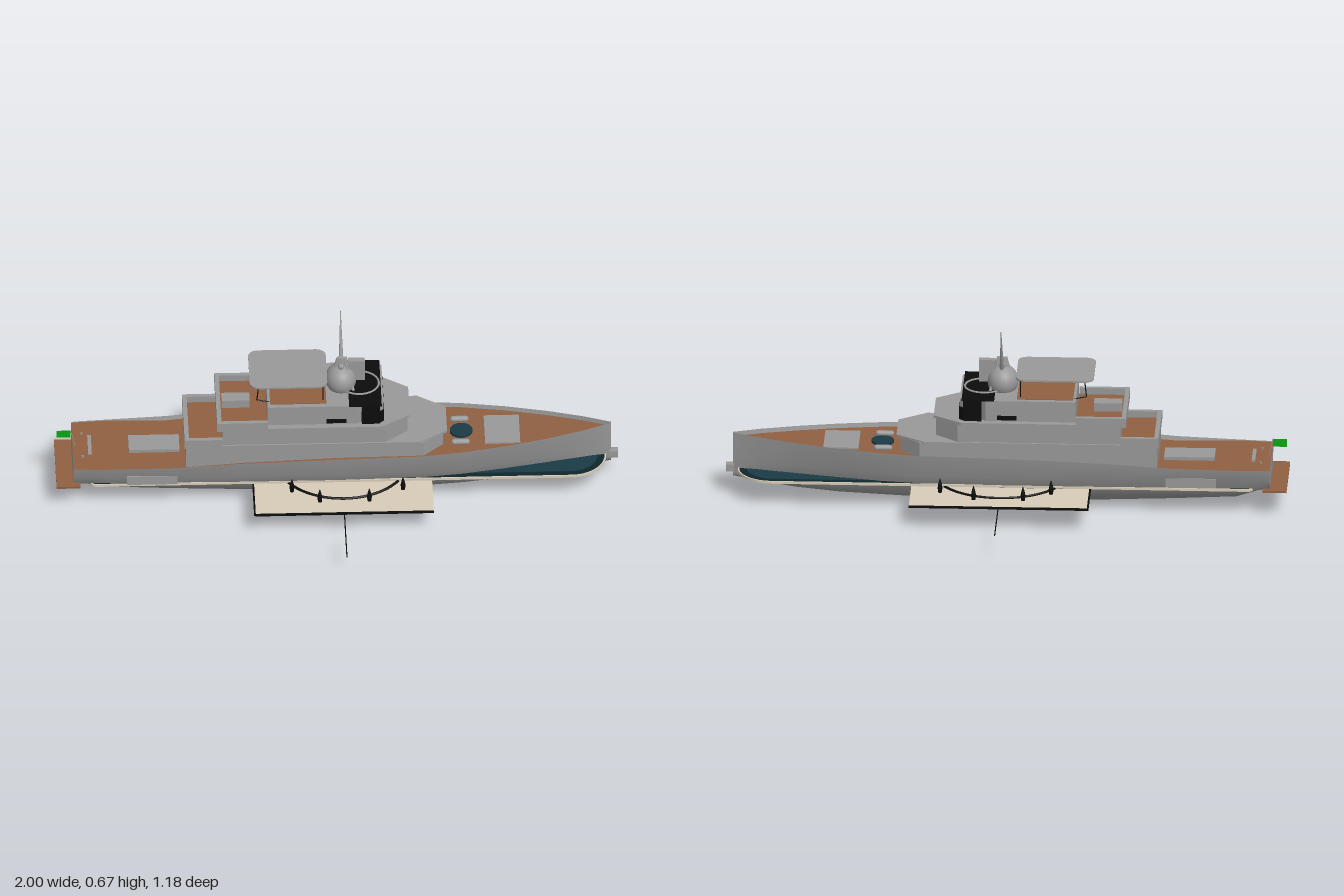
import * as THREE from 'three';

const mat = (color) => new THREE.MeshStandardMaterial({ color, side: THREE.DoubleSide });
const GREY = mat(0x999999), WOOD = mat(0x906042), BEIGE = mat(0xd8ccb8);
const TEAL = mat(0x193b45), DARK_TEAL = mat(0x10262c), BLACK = mat(0x0c0c0c), GREEN = mat(0x0ca812);

// Hull stations: x, half beam at the rail, rail height, half beam at the water, keel height
const STATIONS = [
  [-0.94, 0.145, 0.18, 0.118, 0.098], [-0.9, 0.149, 0.18, 0.12, 0.078], [-0.82, 0.153, 0.181, 0.123, 0.036],
  [-0.6, 0.16, 0.187, 0.128, 0.022], [-0.35, 0.167, 0.205, 0.132, 0.01], [0, 0.172, 0.219, 0.133, 0.005],
  [0.3, 0.167, 0.222, 0.125, 0.006], [0.45, 0.15, 0.225, 0.108, 0.01], [0.6, 0.122, 0.228, 0.08, 0.017],
  [0.75, 0.084, 0.231, 0.048, 0.032], [0.88, 0.042, 0.234, 0.02, 0.052], [0.975, 0.003, 0.236, 0.002, 0.072],
];

// Joins equal-length rows of points into a surface
function loft(rows) {
  const n = rows[0].length, index = [];
  for (let i = 0; i < rows.length - 1; i++) {
    for (let j = 0; j < n - 1; j++) {
      const a = i * n + j, b = a + n;
      index.push(a, b, a + 1, b, b + 1, a + 1);
    }
  }
  const g = new THREE.BufferGeometry();
  g.setAttribute('position', new THREE.Float32BufferAttribute(rows.flat(2), 3));
  g.setIndex(index);
  g.computeVertexNormals();
  return g;
}

// Upright prism from a plan outline, with optional holes
function prism(shape, y0, y1, ...holes) {
  shape.holes.push(...holes);
  const g = new THREE.ExtrudeGeometry(shape, { depth: y1 - y0, bevelEnabled: false, curveSegments: 12 });
  return g.rotateX(-Math.PI / 2).translate(0, y0, 0);
}

// Plan of a deckhouse with a chamfered front
function housePlan(x0, x1, half, cx, cz) {
  return new THREE.Shape([[x0, -half], [x1 - cx, -half], [x1, cz - half], [x1, half - cz], [x1 - cx, half], [x0, half]]
    .map(([x, z]) => new THREE.Vector2(x, z)));
}

// Plan with rounded corners, r0 at the stern end and r1 at the bow end
function roundPlan(x0, x1, h, r0, r1) {
  const s = new THREE.Shape();
  s.moveTo(x0 + r0, -h);
  s.lineTo(x1 - r1, -h);
  s.absarc(x1 - r1, -h + r1, r1, -Math.PI / 2, 0);
  s.absarc(x1 - r1, h - r1, r1, 0, Math.PI / 2);
  s.lineTo(x0 + r0, h);
  s.absarc(x0 + r0, h - r0, r0, Math.PI / 2, Math.PI);
  s.absarc(x0 + r0, -h + r0, r0, Math.PI, Math.PI * 1.5);
  return s;
}

export function createModel() {
  const root = new THREE.Group();
  const add = (name, geo, material = GREY) => {
    const m = new THREE.Mesh(geo, material);
    m.name = name;
    root.add(m);
    return m;
  };
  // Box given by its limits
  const box = (name, x0, x1, y0, y1, z0, z1, material) =>
    add(name, new THREE.BoxGeometry(x1 - x0, y1 - y0, z1 - z0)
      .translate((x0 + x1) / 2, (y0 + y1) / 2, (z0 + z1) / 2), material);
  // Thin rod between two points
  const rod = (name, a, b, r0, r1, material) => {
    const p = new THREE.Vector3(...a), q = new THREE.Vector3(...b), d = q.clone().sub(p);
    const m = add(name, new THREE.CylinderGeometry(r1, r0, d.length(), 8), material);
    m.position.copy(p).lerp(q, 0.5);
    m.quaternion.setFromUnitVectors(new THREE.Vector3(0, 1, 0), d.normalize());
  };

  // Hull, transom and main deck
  const sections = STATIONS.map(([x, b, s, w, k]) => {
    const side = [[b, s], [b * 0.53 + w * 0.5, 0.14], [w, Math.max(0.1, k)],
      [w * 0.9, k + (0.1 - k) * 0.65], [w * 0.64, k + (0.1 - k) * 0.3]];
    return [...side.map(([z, y]) => [x, y, z]), [x, k, 0], ...side.reverse().map(([z, y]) => [x, y, -z])];
  });
  add('hull', loft(sections));
  const stern = sections[0];
  add('transom', loft([stern.slice(0, 6), stern.slice(5).reverse()]));
  add('mainDeck', loft(STATIONS.map(([x, b, s]) => {
    const y = s - (x < -0.6 ? 0.002 : 0.016), h = Math.max(b - 0.003, 0.001);
    return [[x, y, -h], [x, y, h]];
  })), WOOD);
  for (const s of [1, -1]) {
    box('sideDoor', -0.75, -0.57, 0.112, 0.147, s * 0.147 - 0.005, s * 0.147 + 0.005);
  }

  // Waterline shelf with its edging, bow block and swim platform
  add('waterlineRim', prism(roundPlan(-0.88, 0.957, 0.136, 0.02, 0.126), 0.095, 0.104,
    roundPlan(-0.876, 0.952, 0.131, 0.02, 0.121)), BEIGE);
  add('shelfGutter', prism(roundPlan(-0.876, 0.952, 0.131, 0.02, 0.121), 0.096, 0.103,
    roundPlan(-0.86, 0.927, 0.108, 0.02, 0.098)), DARK_TEAL);
  add('waterlineShelf', prism(roundPlan(-0.86, 0.927, 0.108, 0.02, 0.098), 0.096, 0.104), TEAL);
  box('bowBlock', 0.97, 1, 0.09, 0.118, -0.013, 0.013);
  box('swimPlatform', -1, -0.915, 0.096, 0.104, -0.145, 0.145, WOOD);

  // Side terraces with ring, bollards and thin spar
  box('sideTerrace', -0.3, 0.335, 0.086, 0.092, -0.318, 0.318, BEIGE);
  box('terraceEdge', -0.304, -0.298, 0.085, 0.093, -0.32, 0.32, BLACK);
  box('terraceSpar', 0.015, 0.019, 0.089, 0.0895, -0.59, 0.59, BLACK);
  add('terraceRing', new THREE.TorusGeometry(0.236, 0.005, 8, 64).rotateX(Math.PI / 2).translate(0.02, 0.094, 0), BLACK);
  add('terraceRingBase', new THREE.CylinderGeometry(0.232, 0.232, 0.012, 64, 1, true).translate(0.02, 0.084, 0));
  const profile = [[0.001, 0], [0.007, 0], [0.009, 0.018], [0.006, 0.034], [0.001, 0.052]]
    .map(([r, y]) => new THREE.Vector2(r, y));
  for (const s of [1, -1]) {
    box('terraceSideEdge', -0.3, 0.335, 0.085, 0.0925, s * 0.319 - 0.003, s * 0.319 + 0.003, BLACK);
    for (const [x, z] of [[-0.165, 0.182], [-0.068, 0.248], [0.108, 0.248], [0.23, 0.182]]) {
      add('bollard', new THREE.LatheGeometry(profile, 10).translate(x, 0.092, s * z), BLACK);
    }
  }

  // Three deckhouse tiers, each with a roof plate
  add('lowerHouse', prism(housePlan(-0.43, 0.375, 0.139, 0.07, 0.065), 0.17, 0.262));
  add('lowerRoof', prism(housePlan(-0.545, 0.39, 0.142, 0.1, 0.07), 0.258, 0.267));
  box('lowerAftHouse', -0.54, -0.42, 0.17, 0.26, -0.139, 0.139);
  add('middleHouse', prism(housePlan(-0.41, 0.25, 0.136, 0.08, 0.065), 0.265, 0.343));
  add('middleRoof', prism(housePlan(-0.43, 0.257, 0.155, 0.1, 0.07), 0.338, 0.347));
  add('upperHouse', prism(housePlan(-0.25, 0.09, 0.132, 0.02, 0.02), 0.345, 0.42));
  add('upperRoof', prism(housePlan(-0.25, 0.09, 0.134, 0.02, 0.02), 0.416, 0.424));
  box('upperDeck', -0.24, -0.04, 0.42, 0.426, -0.115, 0.115, WOOD);

  // Open aft decks with bulwarks
  for (const [x0, x1, y, h, half] of [[-0.545, -0.41, 0.267, 0.026, 0.142], [-0.43, -0.25, 0.347, 0.026, 0.155]]) {
    box('aftDeck', x0 + 0.006, x1, y, y + 0.002, -half + 0.008, half - 0.008, WOOD);
    box('aftBulwark', x0, x0 + 0.016, y, y + h, -half, half);
    for (const s of [1, -1]) box('sideBulwark', x0, x1, y, y + h, s * (half - 0.008) - 0.008, s * (half - 0.008) + 0.008);
  }
  box('aftTable', -0.41, -0.31, 0.349, 0.38, -0.025, 0.025);

  // Wheelhouse: dark glazing under a grey fascia, dark wings and a dark top frame
  add('wheelhouseGlass', prism(housePlan(0.085, 0.165, 0.136, 0.02, 0.02), 0.347, 0.395), BLACK);
  add('wheelhouseFascia', prism(housePlan(0.085, 0.163, 0.134, 0.02, 0.02), 0.395, 0.424));
  for (const s of [1, -1]) {
    box('wheelhouseWing', 0.085, 0.15, 0.35, 0.425, s * 0.137 - 0.003, s * 0.137 + 0.003, BLACK);
    box('sideGlass', -0.04, 0.03, 0.352, 0.368, s * 0.133 - 0.002, s * 0.133 + 0.002, BLACK);
  }
  box('wheelhouseTop', 0.04, 0.156, 0.424, 0.429, -0.139, 0.139, BLACK);
  add('wheelhouseRing', new THREE.TorusGeometry(0.07, 0.004, 6, 40).rotateX(Math.PI / 2).translate(0.08, 0.43, 0));

  // Sun canopy on slim posts
  add('canopy', prism(roundPlan(-0.312, -0.036, 0.115, 0.035, 0.035), 0.492, 0.498));
  for (const s of [1, -1]) {
    rod('canopyBracket', [-0.24, 0.422, s * 0.095], [-0.287, 0.432, s * 0.095], 0.002, 0.002, BLACK);
    rod('canopyPost', [-0.287, 0.432, s * 0.095], [-0.28, 0.494, s * 0.095], 0.002, 0.002, BLACK);
    rod('canopyPost', [-0.052, 0.42, s * 0.095], [-0.052, 0.494, s * 0.095], 0.002, 0.002, BLACK);
  }

  // Radar dome, mast, lamps and whip antenna
  const dome = add('radarDome', new THREE.SphereGeometry(0.058, 24, 16));
  dome.scale.set(0.95, 1, 1.08);
  dome.position.set(0.015, 0.452, 0);
  add('mast', new THREE.CylinderGeometry(0.008, 0.02, 0.118, 4, 1).rotateY(Math.PI / 4)
    .scale(3.2, 1, 1).translate(0.018, 0.482, 0));
  box('mastFin', 0.04, 0.1, 0.45, 0.532, -0.012, 0.012);
  for (const s of [1, -1]) {
    rod('mastStay', [0.06, 0.42, s * 0.045], [0.03, 0.53, s * 0.006], 0.006, 0.003);
    add('mastLamp', new THREE.SphereGeometry(0.011, 12, 8).translate(0.015, 0.52, s * 0.025));
    rod('lampArm', [0.015, 0.51, 0], [0.015, 0.518, s * 0.025], 0.003, 0.003);
  }
  rod('whipAntenna', [0.017, 0.51, -0.034], [0.017, 0.675, -0.102], 0.008, 0.001);

  // Foredeck and aft deck fittings
  box('foreHatch', 0.525, 0.65, 0.205, 0.217, -0.084, 0.084);
  add('deckPool', new THREE.CylinderGeometry(0.04, 0.04, 0.014, 32).translate(0.443, 0.211, 0), TEAL);
  for (const s of [1, -1]) {
    add('deckLocker', new THREE.CapsuleGeometry(0.011, 0.045, 6, 12).rotateZ(Math.PI / 2).translate(0.438, 0.214, s * 0.07));
    add('mooringPost', new THREE.CylinderGeometry(0.004, 0.004, 0.008, 10).translate(-0.905, 0.181, s * 0.07));
  }
  box('aftHatch', -0.74, -0.56, 0.176, 0.188, -0.046, 0.046);
  box('aftBench', -0.885, -0.872, 0.176, 0.185, -0.056, 0.056);

  // Ensign at the stern
  rod('flagPole', [-0.93, 0.178, 0], [-0.946, 0.246, 0], 0.0015, 0.0015);
  add('flag', new THREE.PlaneGeometry(0.05, 0.03).translate(-0.971, 0.231, 0), GREEN);

  return root;
}
